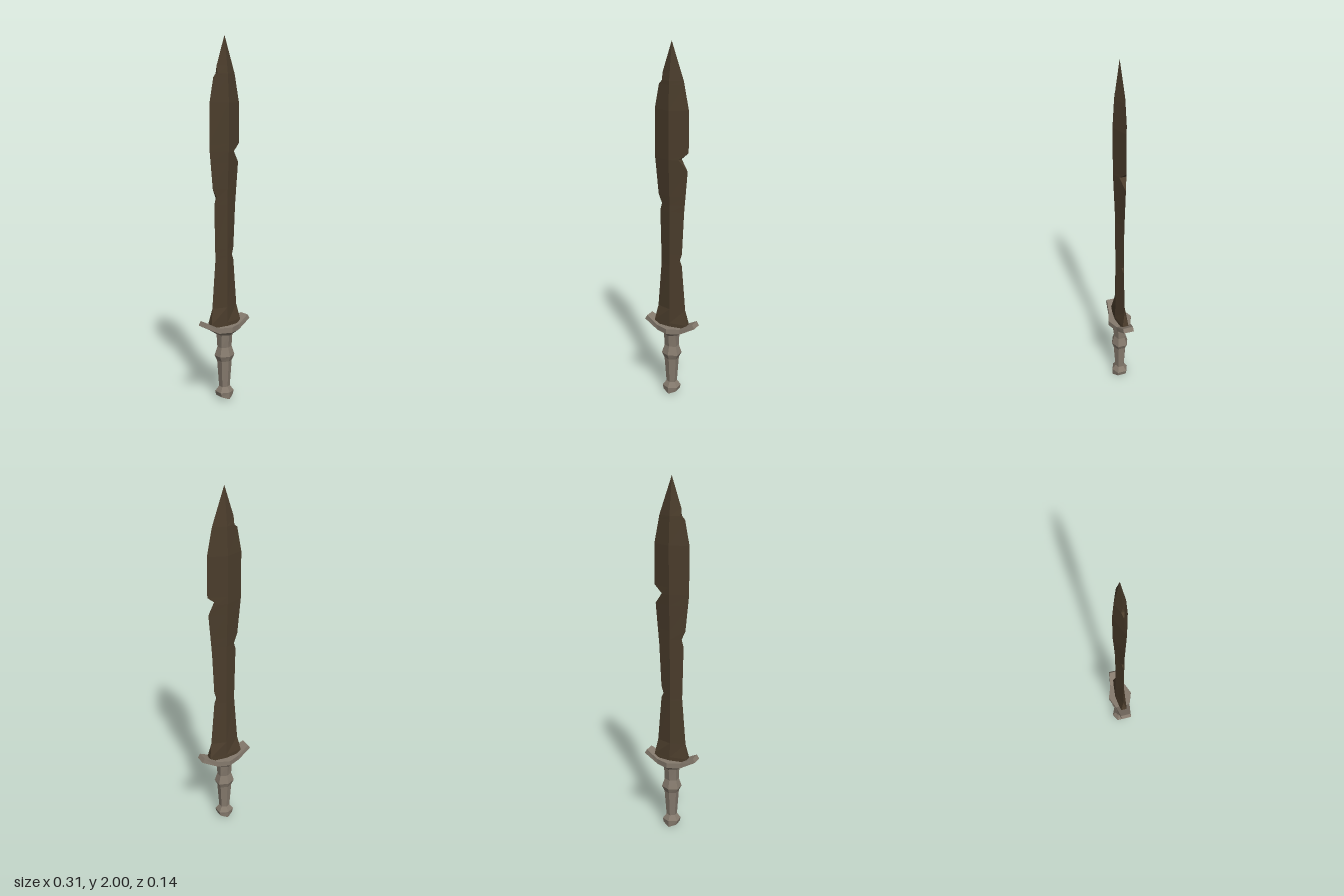
import * as THREE from 'three';

// Skins a list of closed rings (each counter-clockwise seen from the far end) with faceted faces and end caps.
function skin(rings) {
  const pos = [];
  const tri = (a, b, c) => {
    const area = b.clone().sub(a).cross(c.clone().sub(a)).length();
    if (area > 1e-8) for (const p of [a, b, c]) pos.push(p.x, p.y, p.z);
  };
  for (let i = 0; i + 1 < rings.length; i++) {
    const lo = rings[i], hi = rings[i + 1], n = lo.length;
    for (let j = 0; j < n; j++) {
      const k = (j + 1) % n;
      tri(lo[j], lo[k], hi[k]);
      tri(lo[j], hi[k], hi[j]);
    }
  }
  const first = rings[0], last = rings[rings.length - 1];
  for (let j = 1; j + 1 < first.length; j++) {
    tri(first[0], first[j + 1], first[j]);
    tri(last[0], last[j], last[j + 1]);
  }
  const g = new THREE.BufferGeometry();
  g.setAttribute('position', new THREE.Float32BufferAttribute(pos, 3));
  g.computeVertexNormals();
  return g;
}

const v = (x, y, z) => new THREE.Vector3(x, y, z);

// Six-sided ring: ridges at front and back, a side edge of half thickness e at each side.
function hexRing(y, mid, xr, er, xl = xr, el = er, ySide = y) {
  return [v(0, y, mid), v(xr, ySide, er), v(xr, ySide, -er),
    v(0, y, -mid), v(-xl, ySide, -el), v(-xl, ySide, el)];
}

// Linear lookup of column c in rows sorted by their first value.
function sample(rows, y, c) {
  let i = 0;
  while (i < rows.length - 2 && rows[i + 1][0] < y) i++;
  const [a, b] = [rows[i], rows[i + 1]];
  return THREE.MathUtils.lerp(a[c], b[c], (y - a[0]) / (b[0] - a[0]));
}

export function createModel() {
  const darkBronze = new THREE.MeshStandardMaterial({ color: 0x4b3d2c });
  const wornStone = new THREE.MeshStandardMaterial({ color: 0x857a6d });
  darkBronze.name = 'darkBronze';
  wornStone.name = 'wornStone';

  const group = new THREE.Group();
  group.name = 'sword';
  const add = (name, rings, material) => {
    const mesh = new THREE.Mesh(skin(rings), material);
    mesh.name = name;
    group.add(mesh);
  };

  // Blade edges with chips: height, distance from the middle, half thickness
  const leftEdge = [
    [0.42, 0.102, 0.018], [0.445, 0.1, 0.017], [0.53, 0.085, 0], [0.79, 0.063, 0],
    [0.82, 0.048, 0.006], [0.86, 0.063, 0], [1.1, 0.075, 0], [1.33, 0.095, 0],
    [1.39, 0.05, 0.019], [1.43, 0.1, 0], [1.65, 0.1, 0], [1.8, 0.07, 0], [2, 0, 0],
  ];
  const rightEdge = [
    [0.42, 0.102, 0.018], [0.445, 0.1, 0.017], [0.53, 0.085, 0], [0.8, 0.063, 0],
    [1.1, 0.07, 0], [1.14, 0.056, 0.006], [1.19, 0.08, 0], [1.39, 0.1, 0],
    [1.65, 0.1, 0], [1.78, 0.075, 0], [1.8, 0.053, 0.008], [1.84, 0.053, 0], [2, 0, 0],
  ];
  // Central ridge: height, half thickness
  const ridge = [[0.42, 0.03], [0.53, 0.026], [0.8, 0.025], [1.15, 0.027],
    [1.39, 0.037], [1.65, 0.038], [1.8, 0.029], [2, 0]];
  const heights = [...new Set([...leftEdge, ...rightEdge].map((r) => r[0]))].sort((a, b) => a - b);
  add('blade', heights.map((y) => hexRing(y, sample(ridge, y, 1),
    sample(leftEdge, y, 1), sample(leftEdge, y, 2),
    sample(rightEdge, y, 1), sample(rightEdge, y, 2))), darkBronze);

  // Guard with upswept arms: top x, bottom x, top y, bottom y, half depth
  const arm = [[0, 0, 0.425, 0.395, 0.07], [0.07, 0.07, 0.425, 0.395, 0.043],
    [0.143, 0.157, 0.465, 0.442, 0.03]];
  const stations = [...arm.slice(1).reverse().map(([t, b, ...r]) => [-t, -b, ...r]), ...arm];
  add('guard', stations.map(([xt, xb, yt, yb, z]) =>
    [v(xb, yb, -z), v(xt, yt, -z), v(xt, yt, z), v(xb, yb, z)]), wornStone);

  // Tapered collar under the guard
  add('collar', [hexRing(0.375, 0.05, 0.043, 0.025), hexRing(0.395, 0.07, 0.07, 0.043)], wornStone);

  // Grip with a raised band: height, half depth, half width
  const grip = [[0.06, 0.027, 0.026], [0.22, 0.038, 0.036], [0.25, 0.049, 0.05],
    [0.3, 0.034, 0.036], [0.38, 0.044, 0.038]];
  add('grip', grip.map(([y, z, x]) => hexRing(y, z, x, z * 0.55)), wornStone);

  // Flared pommel with a ridged underside
  add('pommel', [hexRing(0, 0.045, 0.04, 0.025, 0.04, 0.025, 0.015),
    hexRing(0.04, 0.047, 0.046, 0.026), hexRing(0.07, 0.027, 0.026, 0.015)], wornStone);

  return group;
}
